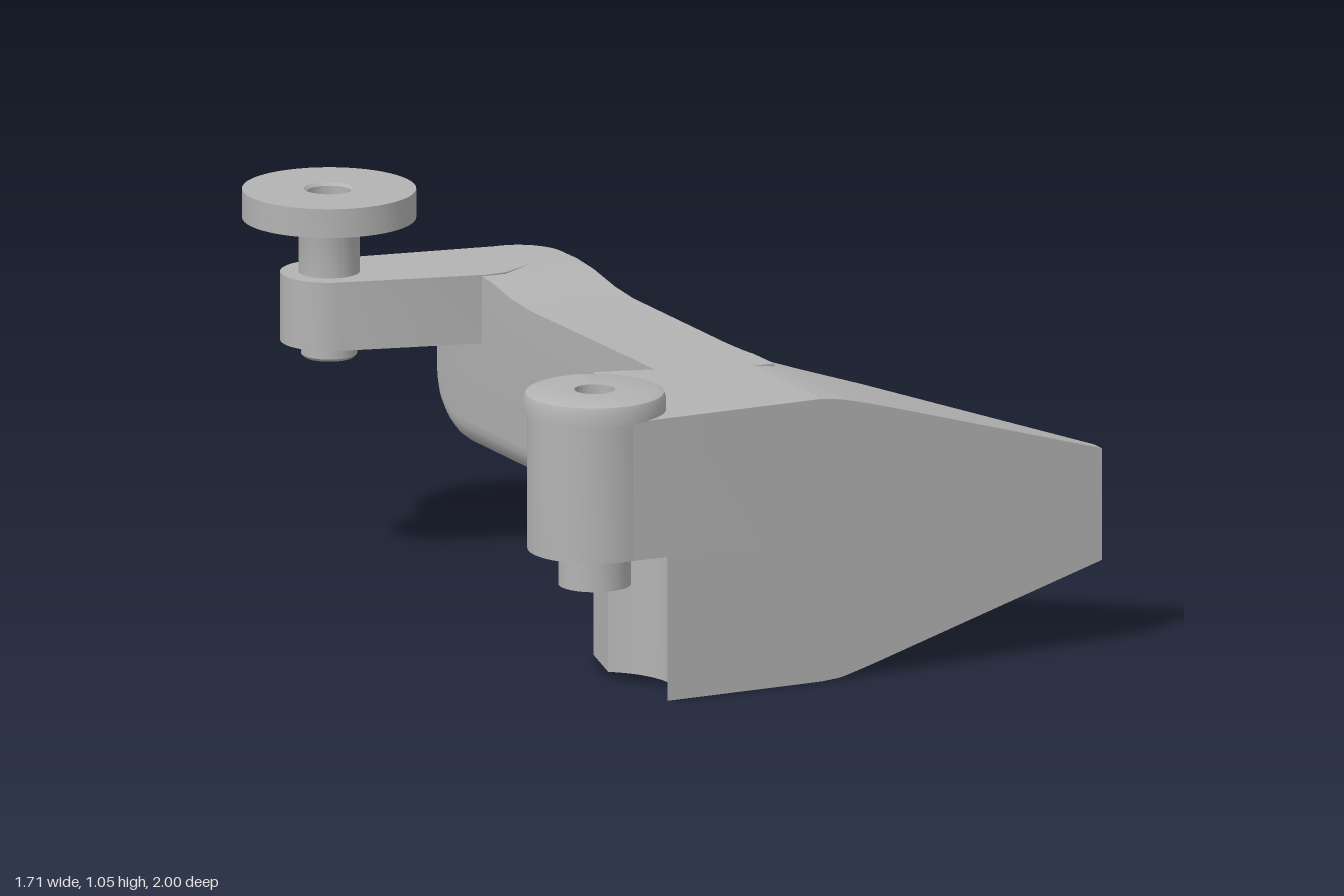
import * as THREE from 'three';
import { toCreasedNormals } from 'three/addons/utils/BufferGeometryUtils.js';

const metal = new THREE.MeshStandardMaterial({ color: 0xb3b3b3 });
metal.name = 'grey metal';

export function createModel() {
  const group = new THREE.Group();

  function add(name, geometry) {
    const mesh = new THREE.Mesh(toCreasedNormals(geometry, 0.55), metal);
    mesh.name = name;
    group.add(mesh);
    return mesh;
  }

  // Skin between equal-length convex rings of [x, y, z], capped at both ends
  function loft(rings) {
    const n = rings[0].length, last = (rings.length - 1) * n;
    const pts = rings.flat(), faces = [];
    for (let r = 0; r < rings.length - 1; r++) {
      for (let i = 0; i < n; i++) {
        const a = r * n + i, b = r * n + (i + 1) % n;
        faces.push([a, b, b + n], [a, b + n, a + n]);
      }
    }
    for (let i = 1; i < n - 1; i++) {
      faces.push([0, i + 1, i], [last, last + i, last + i + 1]);
    }
    // Turn the faces outward by the sign of the enclosed volume
    const v = pts.map((p) => new THREE.Vector3(...p));
    const volume = faces.reduce((s, [a, b, c]) => s + v[a].dot(v[b].clone().cross(v[c])), 0);
    if (volume < 0) faces.forEach((f) => f.reverse());
    const g = new THREE.BufferGeometry();
    g.setAttribute('position', new THREE.Float32BufferAttribute(pts.flat(), 3));
    g.setIndex(faces.flat());
    return g;
  }

  // Vertical prism; the shape is drawn in (x, -z)
  function prism(shape, y0, y1) {
    const g = new THREE.ExtrudeGeometry(shape, { depth: y1 - y0, bevelEnabled: false, curveSegments: 20 });
    return g.rotateX(-Math.PI / 2).translate(0, y0, 0);
  }

  // Turned ring with a closed (radius, y) profile
  function turned(profile, x, z) {
    const pts = [...profile, profile[0]].map((p) => new THREE.Vector2(...p));
    return new THREE.LatheGeometry(pts, 56).translate(x, 0, z);
  }

  const frontZ = (x) => 0.971 - x * 0.0185;

  // Lower block, hollowed around the pivot
  const lower = new THREE.Shape();
  lower.moveTo(0, -frontZ(0));
  lower.lineTo(-0.47, -0.98);
  lower.absarc(-0.6, -0.8, 0.222, -0.945, 0.945, false);
  lower.lineTo(-0.42, -0.43);
  lower.lineTo(0, -0.43);
  add('lowerBlock', prism(lower, 0, 0.4));

  // Upper block, reaching into the pivot barrel
  const upper = new THREE.Shape([
    [0, frontZ(0)], [-0.47, 0.98], [-0.6, 0.98], [-0.6, 0.9], [-0.52, 0.8], [-0.6, 0.7],
    [-0.6, 0.622], [-0.5, 0.622], [-0.47, 0.6], [-0.42, 0.43], [-0.26, 0.475], [0, 0.475],
  ].map(([x, z]) => new THREE.Vector2(x, -z)));
  add('upperBlock', prism(upper, 0.4, 0.785));

  // Tapering wing: x, bottom, top, back z, chamfer
  const wing = [
    [0, 0, 0.785, 0.43, 0.002],
    [0.05, 0.004, 0.778, 0.43, 0.002],
    [0.07, 0.008, 0.774, 0.468, 0.002],
    [0.1, 0.016, 0.767, 0.502, 0.002],
    [0.15, 0.03, 0.754, 0.54, 0.003],
    [0.21, 0.048, 0.737, 0.561, 0.008],
    [0.3, 0.075, 0.711, 0.578, 0.025],
    [0.85, 0.24, 0.55, 0.885, 0.022],
  ];
  add('wing', loft(wing.map(([x, lo, hi, zb, c]) => {
    const zf = frontZ(x);
    return [[x, lo, zf], [x, hi, zf], [x, hi, zb + c], [x, hi - c, zb], [x, lo + c, zb], [x, lo, zb + c]];
  })));

  // Long arm: section with rounded lower edges
  function armRing(z, xl, xr, lo, hi, r = 0.085) {
    const ring = [[xr, hi, z], [xl, hi, z]];
    for (let side = 0; side < 2; side++) {
      for (let i = 0; i <= 6; i++) {
        const a = Math.PI + (side + i / 6) * Math.PI / 2;
        const cx = side ? xr - r : xl + r;
        ring.push([cx + r * Math.cos(a), lo + r + r * Math.sin(a), z]);
      }
    }
    return ring;
  }
  const arm = [armRing(0.56, -0.26, 0.06, 0.19, 0.785)];
  for (let i = 6; i >= 0; i--) {
    const a = (i / 6) * Math.PI / 2;
    arm.push(armRing(0.3 + 0.13 * Math.sin(a), -0.26, 0.045 + 0.012 * (i / 6), 0.19 + 0.122 * Math.cos(a), 0.785));
  }
  for (const [z, hi] of [[-0.26, 0.785], [-0.37, 0.793], [-0.5, 0.813], [-0.6, 0.82]]) {
    arm.push(armRing(z, -0.27, 0.042, 0.312, hi));
  }
  for (let i = 0; i <= 8; i++) {
    const a = (i / 8) * Math.PI / 2, inset = 1 - Math.cos(a);
    arm.push(armRing(-0.69 - 0.13 * Math.sin(a), -0.27, 0.04 - 0.13 * inset, 0.312 + 0.1 * inset, 0.82));
  }
  add('arm', loft(arm));

  // Curved web between arm and block
  const web = new THREE.Shape();
  web.moveTo(-0.2, -0.235);
  web.lineTo(-0.258, -0.235);
  web.absarc(-0.43, -0.235, 0.172, 0, -Math.PI / 2 + 0.06, true);
  web.lineTo(-0.42, -0.5);
  web.lineTo(-0.2, -0.5);
  add('web', prism(web, 0.27, 0.74));

  // Rear lug with rounded end and a bore
  const lug = new THREE.Shape();
  lug.absarc(-0.62, 0.77, 0.132, 1.41, 4.45, false);
  for (const p of [[-0.26, 0.545], [-0.2, 0.545], [-0.1, 0.6], [-0.05, 0.75], [-0.1, 0.82]]) lug.lineTo(...p);
  lug.holes.push(new THREE.Path().absarc(-0.62, 0.77, 0.06, 0, Math.PI * 2, true));
  add('rearLug', prism(lug, 0.63, 0.82));

  // Rear roller: foot, neck and disc around one bore
  add('rearFoot', turned([[0.06, 0.585], [0.068, 0.585], [0.076, 0.593], [0.076, 0.64], [0.06, 0.64]], -0.62, -0.77));
  add('rearRoller', turned([
    [0.06, 0.81], [0.083, 0.81], [0.083, 0.955], [0.087, 0.966], [0.097, 0.97], [0.235, 0.97],
    [0.235, 1.05], [0.068, 1.05], [0.06, 1.042],
  ], -0.62, -0.77));

  // Front pivot: barrel with pin, and a cap cut flat at the rear
  add('pivotBarrel', turned([
    [0.055, 0.3], [0.098, 0.3], [0.098, 0.4], [0.182, 0.4], [0.182, 0.79], [0.055, 0.79],
  ], -0.6, 0.8));
  const cap = turned([
    [0.055, 0.782], [0.193, 0.782], [0.193, 0.818], [0.187, 0.833], [0.172, 0.84], [0.055, 0.84],
  ], 0, 0);
  const p = cap.attributes.position;
  for (let i = 0; i < p.count; i++) p.setZ(i, Math.max(p.getZ(i), -0.178));
  add('pivotCap', cap.translate(-0.6, 0, 0.8));

  return group;
}
